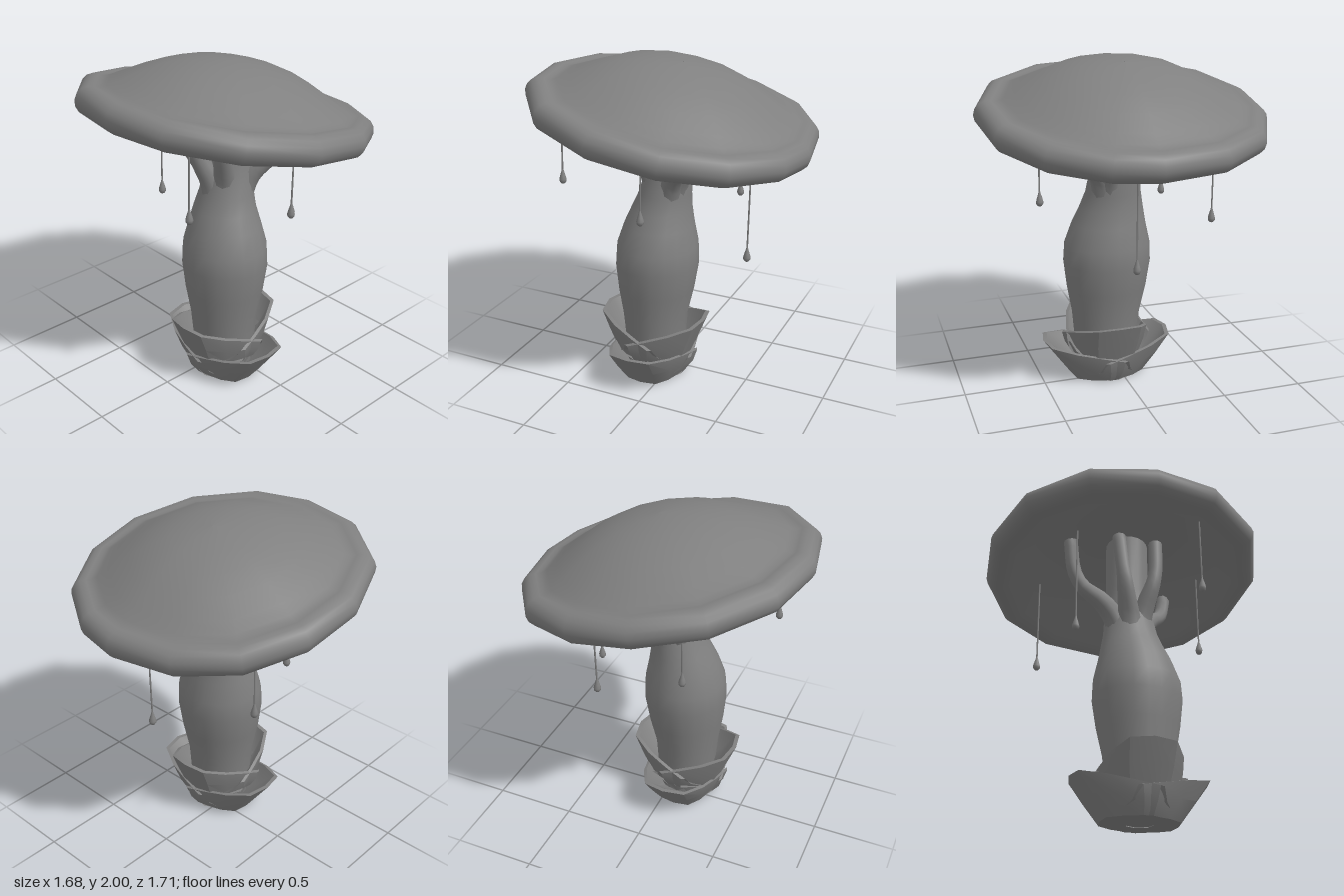
import * as THREE from 'three';
import { toCreasedNormals } from 'three/addons/utils/BufferGeometryUtils.js';

const material = new THREE.MeshStandardMaterial({ color: 0x808080, side: THREE.DoubleSide });
const lerp = THREE.MathUtils.lerp;

// Surface through rows of cross-section points; rows and columns may wrap around.
function loft(rows, wrapRows, wrapCols) {
  const n = rows.length, m = rows[0].length, index = [];
  for (let i = 0; i < (wrapRows ? n : n - 1); i++) {
    for (let j = 0; j < (wrapCols ? m : m - 1); j++) {
      const a = i * m + j, b = i * m + (j + 1) % m;
      const c = ((i + 1) % n) * m + j, d = ((i + 1) % n) * m + (j + 1) % m;
      index.push(a, c, b, b, c, d);
    }
  }
  const geometry = new THREE.BufferGeometry();
  geometry.setAttribute('position', new THREE.Float32BufferAttribute(rows.flat(2), 3));
  geometry.setIndex(index);
  geometry.computeVertexNormals();
  return geometry;
}

function add(parent, geometry, name) {
  const mesh = new THREE.Mesh(geometry, material);
  mesh.name = name;
  parent.add(mesh);
  return mesh;
}

// Tilted cap: one smooth profile (dome, groove, rolled rim, hollow underside)
// swept round an uneven polygon of [angle, scale] corners
function makeCap() {
  const corners = [[2, 1], [20.4, 1.003], [45, 1.005], [70.6, 1], [98, 1.003], [126.5, 1.015],
    [154.8, 1.012], [180, 1], [207, 1.02], [234, 1.03], [260.7, 1.015], [285.5, 1.015],
    [310.3, 1.03], [334.8, 1.012]];
  const profile = [[0.001, 0.315], [0.12, 0.308], [0.25, 0.287], [0.38, 0.248],
    [0.5, 0.194], [0.62, 0.13], [0.69, 0.092], [0.73, 0.077]];
  for (let i = 0; i <= 8; i++) {
    const t = lerp(1.75, -1.75, i / 8);
    profile.push([0.772 + 0.086 * Math.cos(t), -0.003 + 0.086 * Math.sin(t)]);
  }
  profile.push([0.7, -0.062], [0.6, 0.0], [0.42, 0.1], [0.22, 0.165], [0.001, 0.185]);
  const rows = corners.map(([degrees, scale]) => {
    const a = THREE.MathUtils.degToRad(degrees);
    return profile.map(([r, y]) => [r * scale * Math.cos(a), y, r * scale * Math.sin(a)]);
  });
  const cap = new THREE.Group();
  cap.name = 'cap';
  add(cap, loft(rows, true, false), 'capShell');
  cap.position.y = 1.675;
  cap.rotation.z = -0.19;
  return cap;
}

// Bulging stem: rings of [height, centre x, centre z, radius], a little deeper than wide
function makeStem() {
  const stations = [[0.02, -0.085, 0.075, 0.17], [0.2, -0.088, 0.075, 0.185],
    [0.4, -0.09, 0.075, 0.2], [0.58, -0.083, 0.072, 0.233], [0.75, -0.077, 0.07, 0.254],
    [0.87, -0.075, 0.068, 0.248], [1.0, -0.067, 0.06, 0.213], [1.1, -0.055, 0.047, 0.183],
    [1.2, -0.035, 0.04, 0.158], [1.35, -0.01, 0.035, 0.14], [1.5, 0.005, 0.03, 0.125],
    [1.87, 0.005, 0.03, 0.125]];
  const rows = stations.map(([y, cx, cz, r]) => Array.from({ length: 20 }, (_, i) => {
    const a = i / 20 * Math.PI * 2;
    return [cx + r * Math.cos(a), y, cz + r * 1.07 * Math.sin(a)];
  }));
  return loft(rows, false, true);
}

// Tapering strut along a curve, thick where it leaves the stem
function makeStrut(points, r0, r1) {
  const path = new THREE.CatmullRomCurve3(points.map((p) => new THREE.Vector3(...p)));
  const steps = 14, { normals, binormals } = path.computeFrenetFrames(steps);
  const rows = normals.map((normal, i) => {
    const centre = path.getPointAt(i / steps), r = lerp(r0, r1, Math.min(1, 1.6 * i / steps));
    return Array.from({ length: 10 }, (_, j) => {
      const a = j / 10 * Math.PI * 2;
      return centre.clone().addScaledVector(normal, r * Math.cos(a))
        .addScaledVector(binormals[i], r * Math.sin(a)).toArray();
    });
  });
  return loft(rows, false, true);
}

// Cupped petal facing +z, thick, with lowered corners wrapping past the middle
function makePetal({ y0, y1, edge, out0, out1, width0, width1, wrap }) {
  const steps = [-1, -0.92, -0.78, -0.5, 0, 0.5, 0.78, 0.92, 1];
  const rows = steps.map((s) => {
    const fall = s ** 4;
    const point = (t, inset) => [
      s * (lerp(width0, width1, Math.sqrt(t)) - inset * 0.5),
      lerp(y0, lerp(y1, edge, fall), t),
      lerp(out0, out1, t) * (1 - wrap * fall) - inset,
    ];
    return [point(0, 0), point(0.5, 0), point(1, 0),
      point(1, 0.025), point(0.5, 0.06), point(0, 0.15)];
  });
  return toCreasedNormals(loft(rows, false, true), 0.7);
}

// Hanging thread with a teardrop at its lower end
function makeDrip(x, bottom, z) {
  const drip = new THREE.Group();
  drip.name = 'drip';
  const top = 1.755 - 0.19 * x;
  const thread = new THREE.LineCurve3(
    new THREE.Vector3(x + 0.012, top, z), new THREE.Vector3(x, bottom + 0.08, z));
  add(drip, new THREE.TubeGeometry(thread, 1, 0.005, 6), 'thread');
  const profile = [[0, 0], [0.012, 0.004], [0.021, 0.016], [0.022, 0.03],
    [0.016, 0.052], [0.008, 0.078], [0.003, 0.1]].map((p) => new THREE.Vector2(...p));
  add(drip, new THREE.LatheGeometry(profile, 10), 'drop').position.set(x, bottom, z);
  return drip;
}

export function createModel() {
  const model = new THREE.Group();
  model.name = 'mushroom';
  model.add(makeCap());
  add(model, makeStem(), 'stem');

  // Forked struts growing out of the stem into the cap
  const struts = [
    [[0.0, 1.12, 0.09], [0.05, 1.3, 0.14], [0.12, 1.4, 0.21], [0.22, 1.48, 0.29], [0.29, 1.56, 0.34], [0.32, 1.69, 0.37]],
    [[0.01, 1.12, 0.06], [0.07, 1.3, 0.09], [0.15, 1.41, 0.11], [0.27, 1.475, 0.13], [0.35, 1.53, 0.15], [0.39, 1.66, 0.16]],
    [[-0.06, 1.12, 0.0], [-0.08, 1.3, -0.08], [-0.1, 1.39, -0.17], [-0.1, 1.46, -0.27], [-0.1, 1.56, -0.33], [-0.1, 1.78, -0.36]],
    [[-0.1, 1.12, 0.03], [-0.13, 1.28, 0.01], [-0.18, 1.4, -0.02], [-0.21, 1.5, -0.04], [-0.2, 1.6, -0.05], [-0.15, 1.83, -0.06]],
    [[-0.08, 1.12, 0.06], [-0.09, 1.28, 0.09], [-0.13, 1.4, 0.12], [-0.165, 1.5, 0.15], [-0.165, 1.6, 0.17], [-0.14, 1.82, 0.18]],
  ];
  for (const points of struts) add(model, makeStrut(points, 0.085, 0.044), 'strut');

  // Two layers of opposed petals around the foot
  const lower = { y0: 0, y1: 0.25, edge: 0.15, out0: 0.23, out1: 0.41, width0: 0.19, width1: 0.265, wrap: 1.12 };
  const upper = { y0: 0.14, y1: 0.405, edge: 0.26, out0: 0.23, out1: 0.335, width0: 0.22, width1: 0.27, wrap: 1.2 };
  for (const [shape, turn, name] of [[lower, 0, 'lowerPetal'], [upper, Math.PI / 2, 'upperPetal']]) {
    for (const half of [0, Math.PI]) {
      const petal = add(model, makePetal(shape), name);
      petal.position.set(-0.09, 0, 0.075);
      petal.rotation.y = turn + half;
    }
  }
  const foot = add(model, new THREE.CylinderGeometry(0.2, 0.17, 0.12, 12), 'foot');
  foot.position.set(-0.09, 0.066, 0.075);

  const drips = [[-0.57, 1.26, 0.33], [-0.22, 1.1, -0.34], [0.03, 1.16, 0.51],
    [0.245, 1.03, -0.49], [0.505, 0.85, 0.07]];
  for (const d of drips) model.add(makeDrip(...d));
  return model;
}
